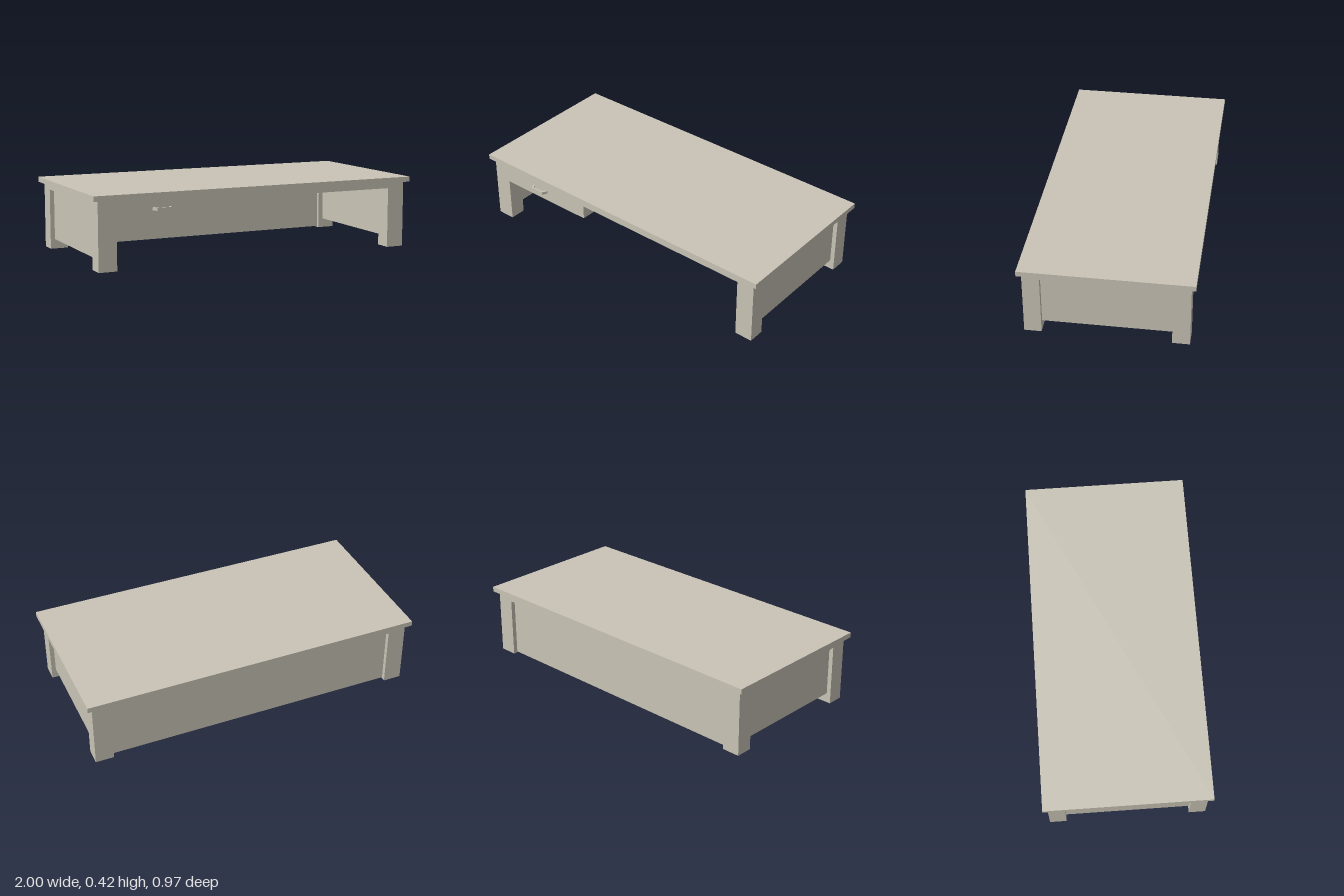
import * as THREE from 'three';

export function createModel() {
  const model = new THREE.Group();
  model.name = 'coffeeTable';
  const paint = new THREE.MeshStandardMaterial({ color: 0xc9c4b6 });
  paint.name = 'warm grey paint';

  // Box given by its minimum and maximum on each axis
  const box = (name, [x0, x1], [y0, y1], [z0, z1]) => {
    const mesh = new THREE.Mesh(new THREE.BoxGeometry(x1 - x0, y1 - y0, z1 - z0), paint);
    mesh.position.set((x0 + x1) / 2, (y0 + y1) / 2, (z0 + z1) / 2);
    mesh.name = name;
    model.add(mesh);
  };

  const front = 0.455, back = -0.46, railY = 0.355;

  // Top and the solid rail body under it
  box('tableTop', [-1, 1], [0.39, 0.42], [-0.485, 0.478]);
  box('railBody', [-0.97, 0.97], [railY, 0.39], [back, front]);

  // Legs and recessed end panels
  for (const [side, s] of [['left', 1], ['right', -1]]) {
    const span = (a, b) => (s > 0 ? [a, b] : [-b, -a]);
    box(side + 'FrontLeg', span(0.863, 0.97), [0, railY], [0.358, front]);
    box(side + 'BackLeg', span(0.863, 0.97), [0, railY], [back, -0.362]);
    box(side + 'EndPanel', span(0.892, 0.944), [0.057, railY], [-0.362, 0.358]);
  }

  // Recessed back panel, almost down to the floor
  box('backPanel', [-0.863, 0.863], [0.006, railY], [-0.434, -0.382]);

  // Drawer: flush front between the legs, wider box behind it
  box('drawerFront', [-0.863, -0.25], [0.27, railY], [0.358, front]);
  box('drawerBox', [-0.892, -0.25], [0.27, railY], [-0.382, 0.358]);

  // Drawer pull: bar on two slanted feet, drawn in x and z and extruded in height
  const outline = [
    [-0.057, 0], [-0.042, 0.03], [0.042, 0.03], [0.057, 0],
    [0.044, 0], [0.034, 0.02], [-0.034, 0.02], [-0.044, 0],
  ].map(([x, z]) => new THREE.Vector2(x, -z));
  const pull = new THREE.ExtrudeGeometry(new THREE.Shape(outline), { depth: 0.017, bevelEnabled: false });
  pull.rotateX(-Math.PI / 2);
  const handle = new THREE.Mesh(pull, paint);
  handle.name = 'drawerHandle';
  handle.position.set(-0.597, 0.32, front);
  model.add(handle);

  return model;
}
